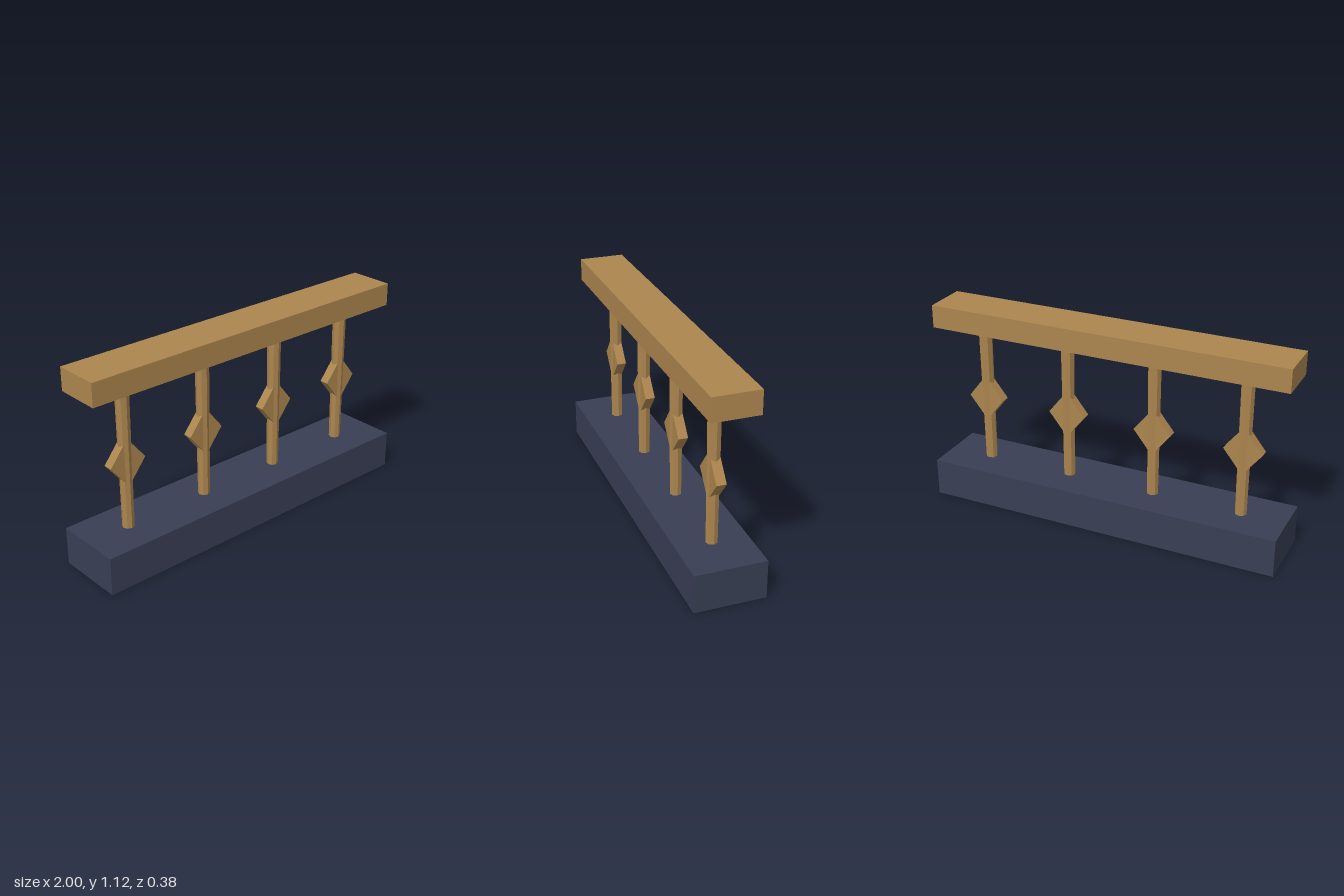
import * as THREE from 'three';

export function createModel() {
  const wood = new THREE.MeshStandardMaterial({ color: 0xac854e });
  wood.name = 'warm wood';
  const slate = new THREE.MeshStandardMaterial({ color: 0x383e54 });
  slate.name = 'dark slate';

  const model = new THREE.Group();
  model.name = 'balustrade';

  const add = (parent, name, geometry, material, x, y) => {
    const mesh = new THREE.Mesh(geometry, material);
    mesh.name = name;
    mesh.position.set(x, y, 0);
    parent.add(mesh);
  };

  // Plinth and handrail
  add(model, 'base', new THREE.BoxGeometry(2, 0.21, 0.38), slate, 0, 0.105);
  add(model, 'handrail', new THREE.BoxGeometry(2, 0.126, 0.25), wood, 0, 1.058);

  // Eight-sided post, wider at the top (flat facets)
  const postGeometry = new THREE.CylinderGeometry(0.037, 0.032, 0.8, 8).toNonIndexed();
  postGeometry.computeVertexNormals();

  // Tall diamond plate threaded on each post
  const diamond = new THREE.Shape([
    new THREE.Vector2(0.105, 0),
    new THREE.Vector2(0, 0.132),
    new THREE.Vector2(-0.105, 0),
    new THREE.Vector2(0, -0.132),
  ]);
  const diamondGeometry = new THREE.ExtrudeGeometry(diamond, { depth: 0.052, bevelEnabled: false });
  diamondGeometry.translate(0, 0, -0.026);

  for (const x of [-0.75, -0.25, 0.25, 0.75]) {
    const baluster = new THREE.Group();
    baluster.name = 'baluster';
    baluster.position.x = x;
    add(baluster, 'post', postGeometry, wood, 0, 0.6);
    add(baluster, 'diamond', diamondGeometry, wood, 0, 0.582);
    model.add(baluster);
  }
  return model;
}
